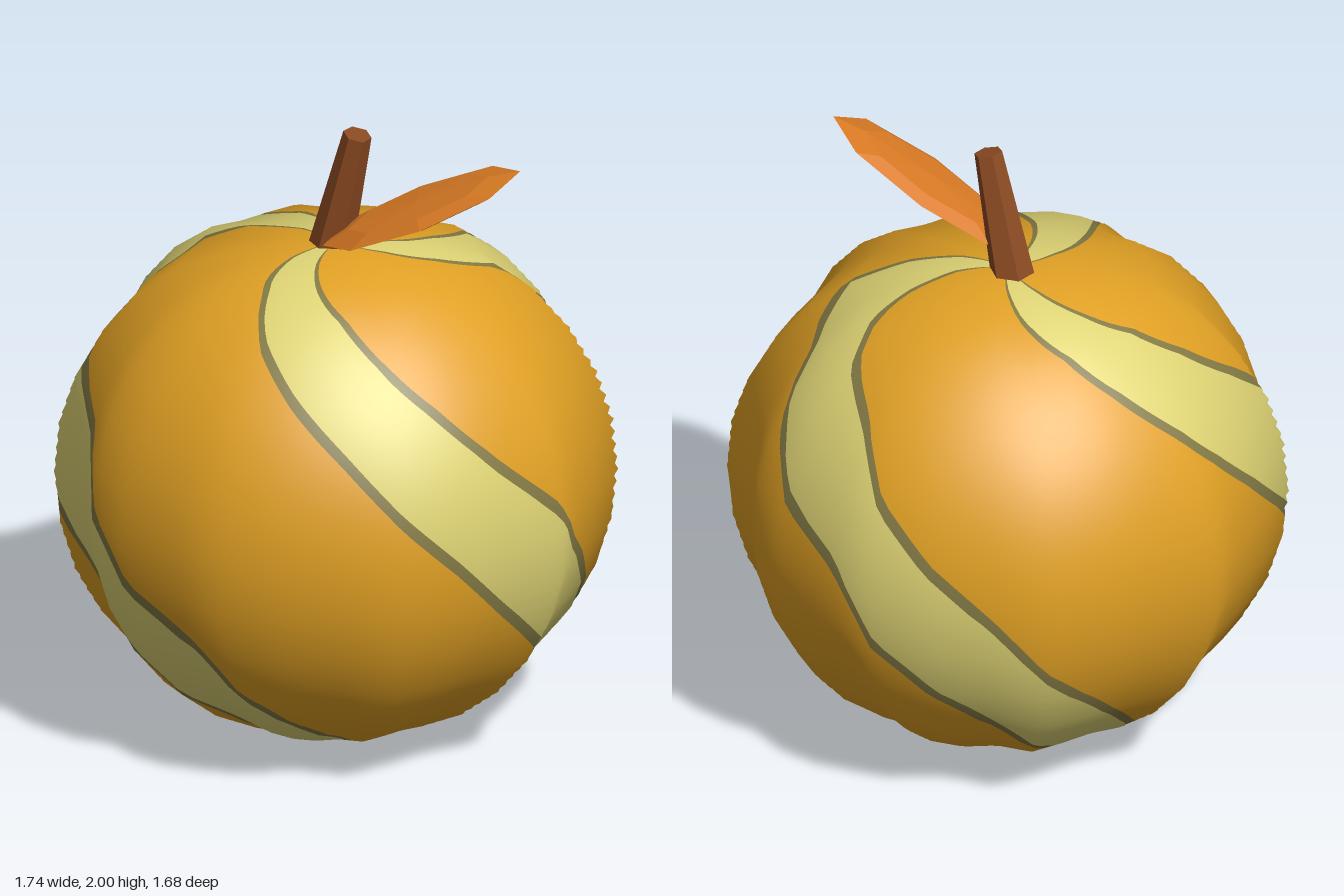
import * as THREE from 'three';

const DEG = Math.PI / 180;
const SEGMENTS = 28, RINGS = 16; // coarse facets of the gourd
const R = 0.84;

const paint = (name, color) => {
  const m = new THREE.MeshStandardMaterial({ color });
  m.name = name;
  return m;
};

// Corner of the coarse lobed body: ten lobes, slightly flattened crown
function corner(i, j) {
  const theta = (i / SEGMENTS) * Math.PI * 2, phi = (j / RINGS) * Math.PI;
  const r = R * Math.sin(phi) * (1 + 0.05 * Math.cos(10 * theta));
  let y = R + R * Math.cos(phi);
  if (y > 1.52) y = 1.52 + (y - 1.52) * 0.55;
  return new THREE.Vector3(r * Math.cos(theta), y, r * Math.sin(theta));
}

// Point on the faceted body at any angle (degrees), blended between corners
function bodyPoint(theta, phi) {
  const u = (theta / 360) * SEGMENTS, v = (phi / 180) * RINGS;
  const i = Math.floor(u), j = Math.min(Math.floor(v), RINGS - 1);
  const top = corner(i, j).lerp(corner(i + 1, j), u - i);
  const low = corner(i, j + 1).lerp(corner(i + 1, j + 1), u - i);
  return top.lerp(low, v - j);
}

// Spiral band from crown to base between two starting angles, smooth round normals
function spiralBand(from, to, columns) {
  const rows = 64, positions = [], normals = [], index = [];
  for (let j = 0; j <= rows; j++) {
    const phi = (j / rows) * 180;
    for (let i = 0; i <= columns; i++) {
      const theta = from + ((to - from) * i) / columns - phi; // half a turn of twist
      positions.push(...bodyPoint(theta, phi).toArray());
      const s = Math.sin(phi * DEG);
      normals.push(s * Math.cos(theta * DEG), Math.cos(phi * DEG), s * Math.sin(theta * DEG));
      if (i < columns && j < rows) {
        const a = j * (columns + 1) + i, c = a + columns + 1;
        index.push(a, a + 1, c, a + 1, c + 1, c);
      }
    }
  }
  const g = new THREE.BufferGeometry();
  g.setAttribute('position', new THREE.Float32BufferAttribute(positions, 3));
  g.setAttribute('normal', new THREE.Float32BufferAttribute(normals, 3));
  g.setIndex(index);
  return g;
}

// Faceted version of a geometry
function faceted(geometry) {
  const g = geometry.toNonIndexed();
  g.computeVertexNormals();
  return g;
}

export function createModel() {
  const orange = paint('rind orange', 0xe0a024);
  const pale = paint('stripe pale yellow', 0xded374);
  const olive = paint('stripe border olive', 0x837a45);
  const brown = paint('stem brown', 0x8b4a22);
  const rust = paint('leaf orange', 0xd97a24);

  const model = new THREE.Group();
  model.name = 'gourd';
  const add = (parent, name, geometry, material) => {
    const mesh = new THREE.Mesh(geometry, material);
    mesh.name = name;
    parent.add(mesh);
    return mesh;
  };

  // Body: three repeats of border, stripe, border and plain rind
  const body = new THREE.Group();
  body.name = 'body';
  model.add(body);
  const inner = 14.8, outer = 18.2;
  for (let k = 0; k < 3; k++) {
    const c = 100.5 + k * 120;
    add(body, 'stripe', spiralBand(c - inner, c + inner, 10), pale);
    add(body, 'stripeBorder', spiralBand(c - outer, c - inner, 1), olive);
    add(body, 'stripeBorder', spiralBand(c + inner, c + outer, 1), olive);
    add(body, 'rind', spiralBand(c + outer, c + 120 - outer, 28), orange);
  }

  // Leaning six-sided stem
  const stem = add(model, 'stem', faceted(new THREE.CylinderGeometry(0.045, 0.072, 0.45, 6)), brown);
  stem.position.set(0.027, 1.772, 0);
  stem.rotation.z = -0.25;

  // Flat eight-sided leaf, stretched along a long and a skewed short axis
  const long = new THREE.Vector3(0.3, 0.165, -0.11);
  const wide = new THREE.Vector3(0.09, -0.01, 0.13);
  const thick = wide.clone().cross(long).setLength(0.03);
  const leaf = new THREE.SphereGeometry(1, 8, 4);
  leaf.applyMatrix4(new THREE.Matrix4().makeBasis(long, thick, wide).setPosition(0.313, 1.793, -0.023));
  add(model, 'leaf', faceted(leaf), rust);

  return model;
}
